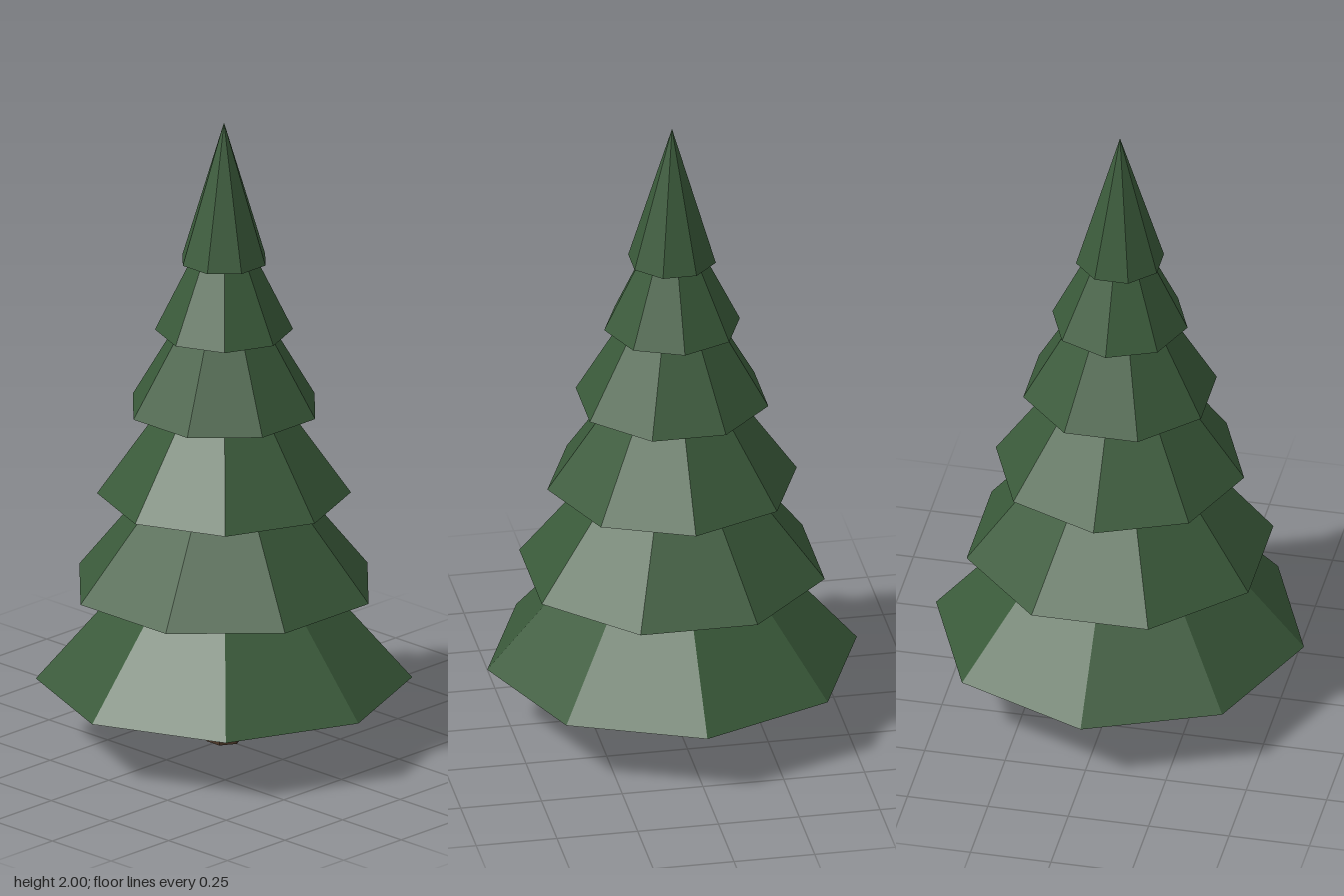
import * as THREE from 'three';

export function createModel() {
  const tree = new THREE.Group();
  tree.name = 'pineTree';
  const needles = new THREE.MeshStandardMaterial({ color: 0x3a5a3a, flatShading: true });
  needles.name = 'needleGreen';
  const bark = new THREE.MeshStandardMaterial({ color: 0x4a3728, flatShading: true });
  bark.name = 'barkBrown';

  // Tapered six-sided trunk, corners pointing left and right
  const trunk = new THREE.Mesh(
    new THREE.CylinderGeometry(0.048, 0.055, 0.3, 6, 1, false, Math.PI / 6), bark);
  trunk.name = 'trunk';
  trunk.position.y = 0.15;
  tree.add(trunk);

  // Overlapping eight-sided cones: base height, base radius, apex height
  const tiers = [
    [0.2, 0.572, 0.86],
    [0.505, 0.474, 1.1],
    [0.8, 0.386, 1.35],
    [1.08, 0.299, 1.59],
    [1.33, 0.21, 1.76],
    [1.555, 0.136, 2.0],
  ];
  tiers.forEach(([base, radius, apex], i) => {
    // Every other tier is turned by half a side
    const turn = (i % 2) * Math.PI / 8;
    const tier = new THREE.Mesh(
      new THREE.ConeGeometry(radius, apex - base, 8, 1, false, turn), needles);
    tier.name = `branchTier${i + 1}`;
    tier.position.y = (base + apex) / 2;
    tree.add(tier);
  });
  return tree;
}
